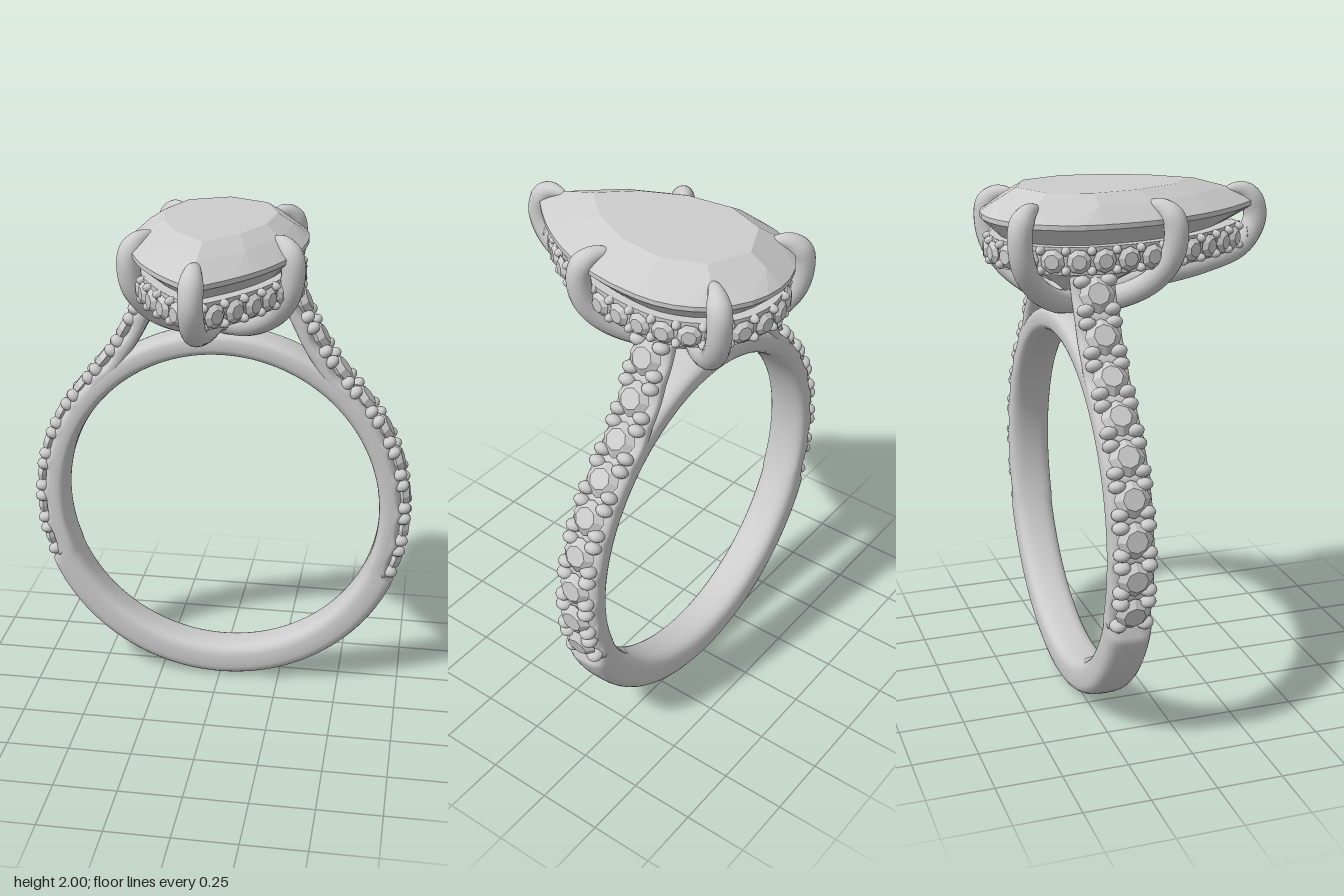
import * as THREE from 'three';
import { ConvexGeometry } from 'three/addons/geometries/ConvexGeometry.js';
import { mergeGeometries, toCreasedNormals } from 'three/addons/utils/BufferGeometryUtils.js';

const V = (x, y, z) => new THREE.Vector3(x, y, z);
const ringZ = -0.222, ringY = 0.785, innerR = 0.645;

// Skin a list of equal-length point rings (each ring turns around the path direction)
function loft(rings, closed) {
  const n = rings[0].length, pos = [], idx = [];
  rings.forEach(r => r.forEach(p => pos.push(p.x, p.y, p.z)));
  const last = closed ? rings.length : rings.length - 1;
  for (let i = 0; i < last; i++) for (let j = 0; j < n; j++) {
    const k = (i + 1) % rings.length, m = (j + 1) % n;
    const a = i * n + j, b = k * n + j, c = k * n + m, d = i * n + m;
    idx.push(a, d, b, b, d, c);
  }
  if (!closed) {
    const end = (rings.length - 1) * n;
    for (let j = 1; j < n - 1; j++) idx.push(0, j + 1, j, end, end + j, end + j + 1);
  }
  const g = new THREE.BufferGeometry();
  g.setAttribute('position', new THREE.Float32BufferAttribute(pos, 3));
  g.setIndex(idx);
  g.computeVertexNormals();
  return g;
}

// Rounded-rectangle section: center, outward direction, half thickness and half width along z
function section(center, out, halfT, halfW, n = 28) {
  const soft = v => Math.sign(v) * Math.pow(Math.abs(v), 0.64);
  return Array.from({ length: n }, (_, j) => {
    const a = j / n * Math.PI * 2;
    return center.clone().addScaledVector(out, halfT * soft(Math.cos(a))).add(V(0, 0, -halfW * soft(Math.sin(a))));
  });
}

function aim(g, at, dir) {
  g.applyQuaternion(new THREE.Quaternion().setFromUnitVectors(V(0, 1, 0), dir));
  return g.translate(at.x, at.y, at.z);
}
// Small round cut stone: flat facets, table facing the given direction
function smallStone(r, at, dir) {
  const top = new THREE.CylinderGeometry(r * 0.6, r, r * 0.36, 8);
  const low = new THREE.CylinderGeometry(r, r * 0.3, r * 0.5, 8).translate(0, -r * 0.43, 0);
  const g = mergeGeometries([top, low]).toNonIndexed();
  g.computeVertexNormals();
  return aim(g, at, dir);
}
const bead = (at, dir, r, h, w) => aim(new THREE.SphereGeometry(r, 12, 8).scale(1, h, w), at, dir);

// Pear outline in plan, drawn with y = -z
function pearShape() {
  const s = new THREE.Shape();
  s.moveTo(0, -0.52);
  s.bezierCurveTo(0.22, -0.32, 0.335, -0.1, 0.335, 0.2);
  s.absellipse(0, 0.2, 0.335, 0.36, 0, Math.PI, false);
  s.bezierCurveTo(-0.335, -0.1, -0.22, -0.32, 0, -0.52);
  return s;
}
function pearPoints(n, k) {
  return pearShape().getSpacedPoints(n).slice(0, n)
    .map(p => new THREE.Vector2(p.x * k, 0.2 + (p.y - 0.2) * k));
}
const pearLevel = (n, k, y) => pearPoints(n, k).map(p => V(p.x, y, -p.y));

export function createModel() {
  const model = new THREE.Group();
  const grey = new THREE.MeshStandardMaterial({ color: 0xcccccc });
  grey.name = 'silver grey';
  const add = (name, geo, parent = model) => {
    const m = new THREE.Mesh(geo, grey);
    m.name = name;
    parent.add(m);
  };

  // Finger band, thicker at the bottom and thin at the arch under the setting
  const band = [];
  for (let i = 0; i < 144; i++) {
    const a = i / 144 * Math.PI * 2, out = V(Math.cos(a), Math.sin(a), 0);
    const t = THREE.MathUtils.smoothstep(out.y, -0.39, -0.34);
    const outer = THREE.MathUtils.lerp(0.785 - 0.015 * (1 + out.y), 0.735 + 0.01 * out.y, t);
    const mid = (innerR + outer) / 2;
    band.push(section(V(out.x * mid, ringY + out.y * mid, ringZ), out, (outer - innerR) / 2, 0.084));
  }
  add('band', loft(band, true));

  // Outer line of a shoulder: follows the band, then rises straight to the setting
  const line = [];
  for (let d = -21; d <= 42; d += 9) {
    const a = d * Math.PI / 180;
    line.push(V(0.775 * Math.cos(a), ringY + 0.775 * Math.sin(a), 0));
  }
  line.push(V(0.46, 1.45, 0), V(0.385, 1.58, 0), V(0.315, 1.735, 0));
  const path = new THREE.CatmullRomCurve3(line);
  const frame = u => {
    const t = path.getTangentAt(u);
    return { p: path.getPointAt(u), t, out: V(t.y, -t.x, 0) };
  };
  // Rail scooped out beneath each stone
  const rail = [], count = 9, perStone = 10;
  for (let i = 0; i <= count * perStone; i++) {
    const { p, out } = frame(i / (count * perStone));
    const top = -0.03 - 0.018 * Math.sin((i % perStone) / perStone * Math.PI), low = -0.1;
    rail.push(section(p.clone().addScaledVector(out, (top + low) / 2), out, (top - low) / 2, 0.083));
  }
  const stones = [], beads = [];
  for (let i = 0; i <= count; i++) {
    if (i < count) {
      const { p, out } = frame((i + 0.5) / count);
      stones.push(smallStone(0.068, p.addScaledVector(out, -0.017), out));
    }
    // Pairs of beads on both edges, with a slit between them
    const { p, t, out } = frame(i / count);
    for (const s of [-1, 1]) for (const z of [-0.05, 0.05]) {
      if ((i === 0 && s < 0) || (i === count && s > 0)) continue;
      const at = p.clone().addScaledVector(t, s * 0.024).addScaledVector(out, -0.032).add(V(0, 0, z));
      beads.push(bead(at, out, 0.024, 1.3, 1.35));
    }
  }
  const shoulderParts = { shoulderRail: loft(rail, false), shoulderStones: mergeGeometries(stones), shoulderBeads: mergeGeometries(beads) };
  for (const side of ['left', 'right']) {
    const g = new THREE.Group();
    g.name = side + 'Shoulder';
    g.position.z = ringZ;
    if (side === 'right') g.rotation.y = Math.PI;
    for (const [name, geo] of Object.entries(shoulderParts)) add(name, geo, g);
    model.add(g);
  }

  // Pear-cut centre stone
  add('centreStone', new ConvexGeometry([
    ...pearLevel(10, 0.64, 2.0),
    ...pearLevel(10, 0.82, 1.963),
    ...pearLevel(40, 1, 1.908),
    ...pearLevel(40, 1, 1.89),
    ...pearLevel(10, 0.42, 1.69),
    V(0, 1.56, -0.2),
  ]));

  // Halo: pear-shaped rail carrying a row of outward-facing stones
  const haloShape = new THREE.Shape(pearPoints(64, 0.91));
  haloShape.holes.push(new THREE.Path(pearPoints(64, 0.78).reverse()));
  const haloRail = new THREE.ExtrudeGeometry(haloShape, { depth: 0.1, bevelEnabled: false });
  haloRail.rotateX(-Math.PI / 2).translate(0, 1.725, 0);
  add('haloRail', toCreasedNormals(haloRail, 0.6));
  const haloStones = [], haloBeads = [], n = 54;
  const ring = pearLevel(n, 0.93, 1.775);
  ring.forEach((p, i) => {
    const t = ring[(i + 1) % n].clone().sub(ring[(i + n - 1) % n]).normalize();
    const out = V(-t.z, 0, t.x);
    if (i % 2 === 0) haloStones.push(smallStone(0.045, p.clone().addScaledVector(out, 0.008), out));
    else for (const y of [-0.036, 0.036]) {
      haloBeads.push(bead(p.clone().addScaledVector(out, -0.006).add(V(0, y, 0)), out, 0.017, 1.4, 1));
    }
  });
  add('haloStones', mergeGeometries(haloStones));
  add('haloBeads', mergeGeometries(haloBeads));

  // Claw prongs: each rises from the base in a vertical plane and hooks over the stone
  function prong(name, dx, dz, low) {
    const len = Math.hypot(dx, dz), dir = V(dx / len, 0, dz / len);
    const side = V(0, 1, 0).cross(dir);
    const pts = [...low.map(([f, y]) => [f * len, y]), [len, 1.83], [len * 0.985, 1.9],
      [len - 0.045, 1.94], [len - 0.09, 1.95], [len - 0.14, 1.94]];
    const curve = new THREE.CatmullRomCurve3(pts.map(([h, y]) => V(dir.x * h, y, -0.2 + dir.z * h)));
    const rings = [], steps = 56, total = curve.getLength();
    for (let i = 0; i <= steps; i++) {
      const u = i / steps, p = curve.getPointAt(u), t = curve.getTangentAt(u);
      const up = t.clone().cross(side);
      const r = 0.045 * Math.pow(Math.min(1, (1 - u) * total / 0.14 + 0.01), 0.7);
      rings.push(Array.from({ length: 16 }, (_, j) => {
        const a = j / 16 * Math.PI * 2;
        return p.clone().addScaledVector(side, r * Math.cos(a)).addScaledVector(up, r * Math.sin(a));
      }));
    }
    add(name, loft(rings, false));
  }
  const basket = [[0, 1.56], [0.4, 1.592], [0.75, 1.665], [0.94, 1.75]];
  for (const [side, s] of [['left', 1], ['right', -1]]) {
    prong(side + 'FrontProng', s * 0.305, 0.28, basket);
    prong(side + 'BackProng', s * 0.255, -0.285, basket);
  }
  prong('tipProng', 0, 0.715, [[0, 1.57], [0.28, 1.62], [0.7, 1.675], [0.92, 1.735]]);

  return model;
}
